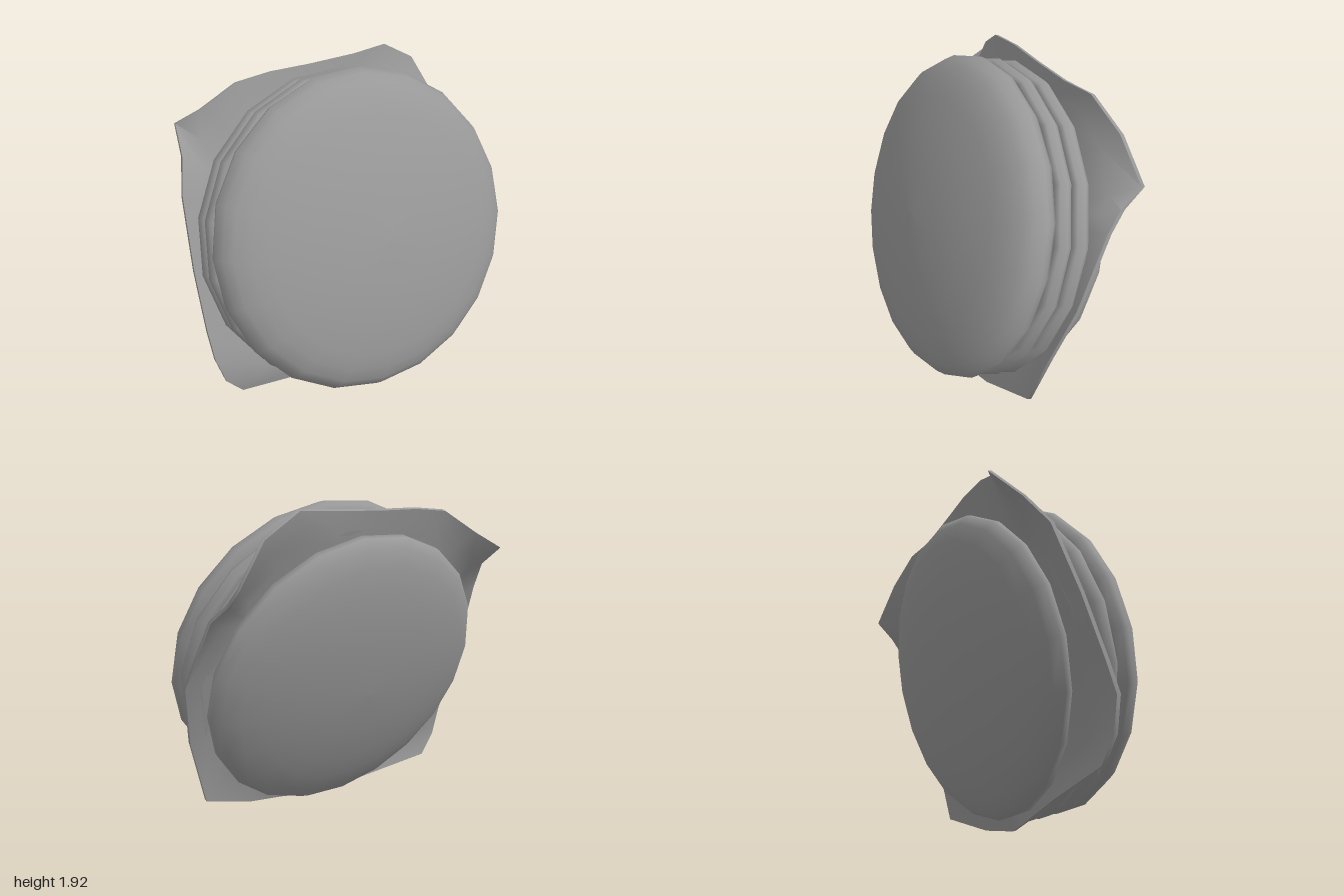
import * as THREE from 'three';
import { toCreasedNormals } from 'three/addons/utils/BufferGeometryUtils.js';

// Stack axis: the burger stands on its edge, tipped slightly
const AXIS = new THREE.Vector3(0.94, 0.325, 0.1).normalize();
const CENTER = new THREE.Vector3(0.013, 0.96, -0.002);
const material = new THREE.MeshStandardMaterial({ color: 0x989898 });

// Round layer turned about the stack axis; profile is [radius, height]
function layer(name, profile, sides, turn) {
  const points = profile.map(([r, h]) => new THREE.Vector2(r, h));
  const mesh = new THREE.Mesh(new THREE.LatheGeometry(points, sides), material);
  mesh.geometry.rotateY(turn);
  mesh.name = name;
  return mesh;
}

// Thin leaf: rim points are [y, z, height along the axis]
function leaf(rim, thickness, flatHeight) {
  const place = (y, z, s) =>
    new THREE.Vector3((s - AXIS.y * (y - 1) - AXIS.z * z) / AXIS.x, y, z);
  const cy = 0.94, n = rim.length;
  // rings from the flat middle out to the bent rim: [scale, share of the bend]
  const rings = [[0.4, 0], [0.8, 0.08], [0.9, 0.4], [1, 1]].map(([k, bend]) =>
    rim.map(([y, z, s]) => place(cy + (y - cy) * k, z * k, flatHeight + (s - flatHeight) * bend)));
  const positions = [], index = [];
  const stride = n * rings.length + 1;
  for (const offset of [thickness / 2, -thickness / 2]) {
    for (const p of [...rings.flat(), place(cy, 0, flatHeight)]) {
      positions.push(...p.clone().addScaledVector(AXIS, offset).toArray());
    }
  }
  for (let i = 0; i < n; i++) {
    const j = (i + 1) % n;
    // upper face, then the mirrored lower face
    const tris = [[stride - 1, j, i]];
    for (let r = 0; r < rings.length - 1; r++) {
      const a = r * n, b = a + n;
      tris.push([a + i, a + j, b + j], [a + i, b + j, b + i]);
    }
    for (const [a, b, c] of tris) {
      index.push(a, b, c, a + stride, c + stride, b + stride);
    }
    // rim edge
    const e = (rings.length - 1) * n;
    index.push(e + i, e + j, e + j + stride, e + i, e + j + stride, e + i + stride);
  }
  const geometry = new THREE.BufferGeometry();
  geometry.setAttribute('position', new THREE.Float32BufferAttribute(positions, 3));
  geometry.setIndex(index);
  return toCreasedNormals(geometry, 0.95);
}

export function createModel() {
  const group = new THREE.Group();
  const stack = new THREE.Group();
  stack.name = 'stack';
  stack.position.copy(CENTER);
  stack.quaternion.setFromUnitVectors(new THREE.Vector3(0, 1, 0), AXIS);
  group.add(stack);

  // Buns with flattened domes
  stack.add(layer('topBun', [
    [0, 0.1], [0.83, 0.1], [0.91, 0.125], [0.948, 0.17], [0.954, 0.205], [0.925, 0.262],
    [0.88, 0.305], [0.8, 0.345], [0.7, 0.376], [0.5, 0.42], [0.25, 0.45], [0, 0.458],
  ], 20, 0.082));
  stack.add(layer('bottomBun', [
    [0, -0.415], [0.25, -0.41], [0.5, -0.375], [0.65, -0.34], [0.77, -0.305],
    [0.86, -0.26], [0.905, -0.21], [0.905, -0.17], [0.85, -0.13], [0, -0.12],
  ], 20, 0.082));

  // Two rounded fillings
  const filling = (low, high) => [
    [0, low], [0.905, low], [0.935, low + 0.02], [0.958, (low + high) / 2],
    [0.94, high - 0.02], [0.915, high], [0, high],
  ];
  stack.add(layer('upperPatty', filling(0.015, 0.13), 18, -0.082));
  stack.add(layer('lowerPatty', filling(-0.1, 0.015), 18, -0.082));

  // Squarish leaf with drooping corners
  const rim = [
    [1.88, 0, -0.08], [1.89, -0.3, -0.07], [1.9, -0.52, -0.09], [1.77, -0.75, -0.165],
    [1.54, -0.92, -0.278], [1.44, -0.915, -0.2], [1.35, -0.95, -0.13], [0.96, -1.0, -0.066],
    [0.6, -0.93, -0.08], [0.2, -0.82, -0.16], [0.07, -0.48, -0.11], [0.02, -0.22, -0.085],
    [0.01, 0, -0.15], [0.06, 0.4, -0.17], [0.11, 0.85, -0.176], [0.24, 0.95, -0.124],
    [0.43, 1.0, -0.066], [0.6, 1.0, -0.068], [0.95, 0.98, -0.069], [1.35, 0.93, -0.075],
    [1.52, 0.85, -0.141], [1.64, 0.79, -0.277], [1.73, 0.67, -0.17], [1.86, 0.47, -0.087],
    [1.88, 0.25, -0.085],
  ];
  const lettuce = new THREE.Mesh(leaf(rim, 0.025, -0.095), material);
  lettuce.name = 'lettuce';
  group.add(lettuce);
  return group;
}
